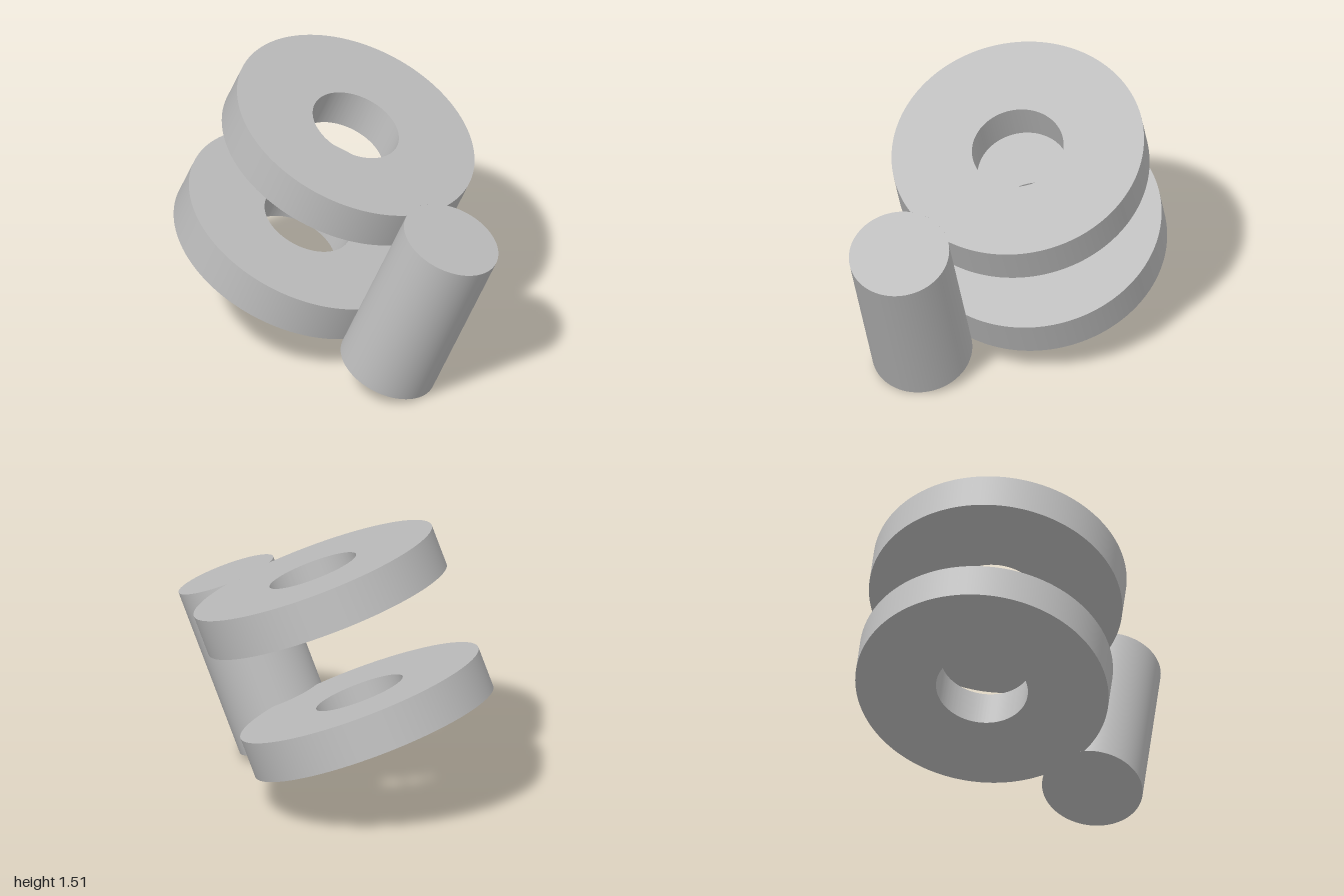
import * as THREE from 'three';
import { toCreasedNormals } from 'three/addons/utils/BufferGeometryUtils.js';

const POST_R = 0.264, POST_L = 0.914;
const DISC_R = 0.664, HOLE_R = 0.241, DISC_T = 0.22, REACH = 0.871;

// Ring outline, notched where it meets the round post at the origin
function ringShape() {
  const x = (REACH ** 2 + DISC_R ** 2 - POST_R ** 2) / (2 * REACH);
  const alpha = Math.acos(x / DISC_R);
  const beta = Math.acos((REACH - x) / POST_R);
  const shape = new THREE.Shape();
  shape.absarc(REACH, 0, DISC_R, alpha - Math.PI, Math.PI - alpha, false);
  shape.absarc(0, 0, POST_R, beta, -beta, true);
  const hole = new THREE.Path();
  hole.absarc(REACH, 0, HOLE_R, 0, Math.PI * 2, true);
  shape.holes.push(hole);
  return shape;
}

export function createModel() {
  const grey = new THREE.MeshStandardMaterial({ color: 0xbcbcbc });
  grey.name = 'grey';

  const model = new THREE.Group();
  model.name = 'clevis';

  // Tilted frame: z along the post, x from the post towards the rings
  const bracket = new THREE.Group();
  bracket.name = 'bracket';
  const axis = new THREE.Vector3(0.185, 0.92, 0.346).normalize();
  const out = new THREE.Vector3(0.0225, 0.308, -0.814);
  out.addScaledVector(axis, -out.dot(axis)).normalize();
  const side = new THREE.Vector3().crossVectors(axis, out);
  bracket.quaternion.setFromRotationMatrix(new THREE.Matrix4().makeBasis(out, side, axis));
  bracket.position.set(-0.11, 0.104, 0.434);
  model.add(bracket);

  // Post
  const postGeo = new THREE.CylinderGeometry(POST_R, POST_R, POST_L, 96);
  postGeo.rotateX(Math.PI / 2);
  postGeo.translate(0, 0, POST_L / 2);
  const post = new THREE.Mesh(postGeo, grey);
  post.name = 'post';
  bracket.add(post);

  // Two matching rings, flush with the ends of the post
  const ringGeo = toCreasedNormals(
    new THREE.ExtrudeGeometry(ringShape(), { depth: DISC_T, bevelEnabled: false, curveSegments: 96 }),
    Math.PI / 6
  );
  for (const [name, z] of [['lowerRing', 0], ['upperRing', POST_L - DISC_T]]) {
    const ring = new THREE.Mesh(ringGeo, grey);
    ring.name = name;
    ring.position.z = z;
    bracket.add(ring);
  }
  return model;
}
